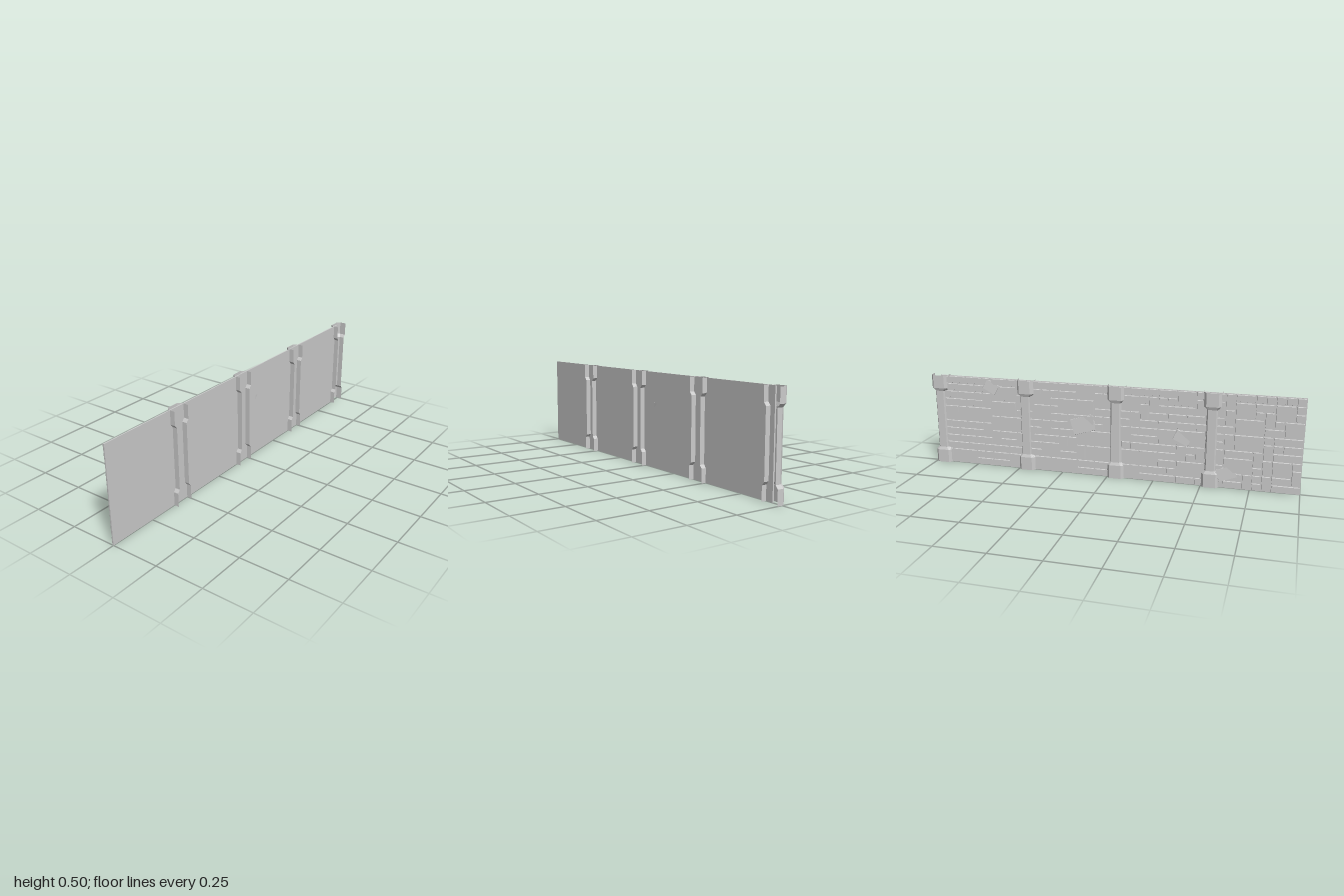
import * as THREE from 'three';
import { mergeGeometries } from 'three/addons/utils/BufferGeometryUtils.js';

const LEFT = -1, RIGHT = 0.945, HEIGHT = 0.5;

// Small seeded generator so the masonry is always laid the same way
function seeded(seed) {
  return () => {
    seed = (seed * 16807) % 2147483647;
    return seed / 2147483647;
  };
}

// Block whose rear face (-z) is inset to give bevelled edges
function stoneGeometry(w, h, d, bevel) {
  const g = new THREE.BoxGeometry(w, h, d);
  const p = g.attributes.position;
  for (let i = 0; i < p.count; i++) {
    if (p.getZ(i) < 0) {
      p.setX(i, p.getX(i) - Math.sign(p.getX(i)) * bevel);
      p.setY(i, p.getY(i) - Math.sign(p.getY(i)) * bevel);
    }
  }
  return g;
}

// Irregular stonework: stones of mixed cell sizes packed on a grid
function stonework() {
  const cols = 40, rows = 12, cw = (RIGHT - LEFT) / cols, ch = HEIGHT / rows;
  const random = seeded(4711);
  const sizes = [[3, 1], [2, 1], [2, 2], [3, 2], [1, 2], [2, 1], [1, 1]];
  const used = new Set(), stones = [];
  const isFree = (c, r, w, h) => {
    if (c + w > cols || r + h > rows) return false;
    for (let i = 0; i < w; i++)
      for (let j = 0; j < h; j++) if (used.has((r + j) * cols + c + i)) return false;
    return true;
  };
  for (let r = 0; r < rows; r++) {
    for (let c = 0; c < cols; c++) {
      if (used.has(r * cols + c)) continue;
      let [w, h] = sizes[Math.floor(random() * sizes.length)];
      while (!isFree(c, r, w, h)) {
        if (w > 1) w--;
        else h--;
      }
      for (let i = 0; i < w; i++)
        for (let j = 0; j < h; j++) used.add((r + j) * cols + c + i);
      const depth = 0.008 + random() * 0.002;
      const g = stoneGeometry(w * cw - 0.005, h * ch - 0.005, depth, 0.0025);
      g.translate(LEFT + (c + w / 2) * cw, (r + h / 2) * ch, -0.003 - depth / 2);
      stones.push(g);
    }
  }
  return mergeGeometries(stones);
}

// Open channel swept upwards: plinth, narrower shaft, flared head
function pillarGeometry() {
  const wide = { side: 0.047, flat: 0.031, back: -0.026, shoulder: -0.008 };
  const slim = { side: 0.034, flat: 0.021, back: -0.02, shoulder: 0 };
  const levels = [[0, wide], [0.072, wide], [0.088, slim], [0.412, slim], [0.428, wide], [HEIGHT, wide]];
  const pos = [], index = [];
  levels.forEach(([y, s], j) => {
    const section = [[s.side, 0.027], [s.side, s.shoulder], [s.flat, s.back],
      [-s.flat, s.back], [-s.side, s.shoulder], [-s.side, 0.027]];
    section.forEach(([x, z], i) => {
      pos.push(x, y, z);
      if (j > 0 && i > 0) {
        const b = j * 6 + i, a = b - 1;
        index.push(a - 6, b - 6, b, a - 6, b, a);
      }
    });
  });
  const g = new THREE.BufferGeometry();
  g.setAttribute('position', new THREE.Float32BufferAttribute(pos, 3));
  g.setIndex(index);
  g.computeVertexNormals();
  return g;
}

export function createModel() {
  const model = new THREE.Group();
  const stoneMat = new THREE.MeshStandardMaterial({ color: 0xcccccc, flatShading: true });
  const shellMat = new THREE.MeshStandardMaterial({ color: 0xcccccc, flatShading: true, side: THREE.DoubleSide });
  const add = (name, geometry, material = stoneMat) => {
    const mesh = new THREE.Mesh(geometry, material);
    mesh.name = name;
    model.add(mesh);
    return mesh;
  };

  // Smooth backing slab, flat on the front
  const slab = add('wallSlab', new THREE.BoxGeometry(RIGHT - LEFT, HEIGHT, 0.006));
  slab.position.set((LEFT + RIGHT) / 2, HEIGHT / 2, -0.002);

  add('stonework', stonework());

  // A few loose stones, twisted in the wall: x, y, width, height, turn
  const loose = [[0.65, 0.45, 0.08, 0.06, 0.5], [0.13, 0.28, 0.13, 0.09, -0.3],
    [-0.4, 0.25, 0.09, 0.06, 0.45], [-0.63, 0.08, 0.1, 0.07, -0.35]];
  for (const [x, y, w, h, turn] of loose) {
    const stone = add('looseStone', stoneGeometry(w, h, 0.01, 0.003));
    stone.position.set(x, y, -0.009);
    stone.rotation.set(0.06, 0.05, turn);
  }

  // Four evenly spaced pillars, the last one closing the right end
  const pillar = pillarGeometry();
  for (let i = 0; i < 4; i++) add('pillar', pillar, shellMat).position.x = -0.547 + i * 0.5;

  return model;
}
